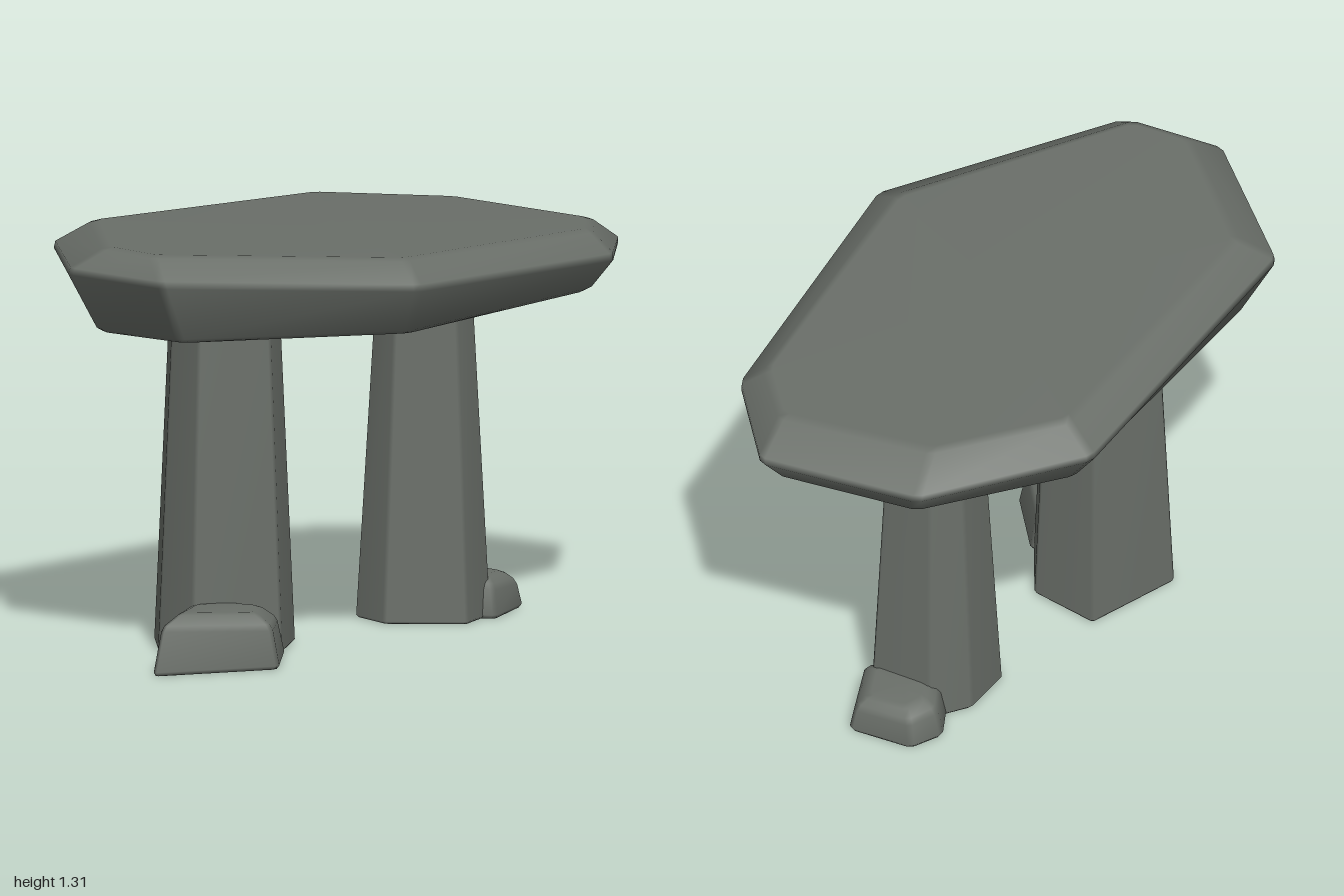
import * as THREE from 'three';

const stone = new THREE.MeshStandardMaterial({ color: 0x6a6f69 });
stone.name = 'weathered stone';

// Point lying a distance d from a towards b
const toward = (a, b, d) => a.clone().lerp(b, Math.min(0.45, d / Math.max(a.distanceTo(b), 1e-6)));

// Closed stone from stacked rings (anticlockwise from above), with narrow soft bevels
function carvedStone(name, rings, bevel) {
  const cut = rings.map(ring => ring.flatMap((p, i) => [
    toward(p, ring.at(i - 1), bevel),
    toward(p, ring[(i + 1) % ring.length], bevel),
  ]));
  const middle = ring => ring.reduce((s, p) => s.add(p), new THREE.Vector3()).divideScalar(ring.length);
  const n = cut[0].length;
  const bottom = middle(cut[0]), top = middle(cut.at(-1));

  // Split every ring into two, so each horizontal edge is bevelled as well
  const rows = cut.flatMap((ring, r) => {
    const below = i => (r > 0 ? cut[r - 1][i] : bottom);
    const above = i => (r < cut.length - 1 ? cut[r + 1][i] : top);
    return [
      ring.map((p, i) => toward(p, below(i), bevel)),
      ring.map((p, i) => toward(p, above(i), bevel)),
    ];
  });

  const points = [...rows.flat(), bottom, top];
  const index = [];
  const lowCentre = points.length - 2, highCentre = points.length - 1;
  const last = (rows.length - 1) * n;
  for (let i = 0; i < n; i++) {
    const j = (i + 1) % n;
    for (let r = 0; r < rows.length - 1; r++) {
      const a = r * n + i, b = r * n + j;
      index.push(a, b, b + n, a, b + n, a + n);
    }
    index.push(lowCentre, j, i, highCentre, last + i, last + j);
  }
  const geometry = new THREE.BufferGeometry().setFromPoints(points);
  geometry.setIndex(index);
  geometry.computeVertexNormals(); // area weighting keeps the broad faces flat
  const mesh = new THREE.Mesh(geometry, stone);
  mesh.name = name;
  return mesh;
}

// Ring from an [x, z] outline, scaled about a centre, at a height given by a rule
const ring = (outline, height, sx = 1, sz = sx, cx = 0, cz = 0) => outline.map(([x, z]) => {
  const px = cx + (x - cx) * sx, pz = cz + (z - cz) * sz;
  return new THREE.Vector3(px, height(px, pz), pz);
});

function pillar(name, outline, cx, cz, taper) {
  return carvedStone(name, [
    ring(outline, () => 0),
    ring(outline, () => 1.07, taper, taper, cx, cz),
  ], 0.008);
}

function boulder(name, outline, cx, cz, height, slope) {
  const tilt = h => x => h - slope * (x - cx);
  return carvedStone(name, [
    ring(outline, () => 0),
    ring(outline, tilt(height * 0.77), 0.87, 0.87, cx, cz),
    ring(outline, tilt(height), 0.6, 0.6, cx, cz),
  ], 0.012);
}

export function createModel() {
  const model = new THREE.Group();
  model.name = 'stoneTable';

  // Sloping capstone: flat underside, wide rim and inset top
  const rim = [[-1, -0.09], [-0.92, 0.26], [-0.22, 0.655], [0.74, 0.45],
    [1, 0.17], [0.87, -0.34], [0.4, -0.66], [-0.68, -0.54]];
  const crown = [[-0.9, -0.02], [-0.87, 0.16], [-0.18, 0.54], [0.71, 0.36],
    [0.86, 0.19], [0.73, -0.29], [0.38, -0.545], [-0.6, -0.435]];
  model.add(carvedStone('capstone', [
    ring(rim, () => 1.035, 0.9, 0.85, 0.2, 0),
    ring(rim, x => 1.185 - 0.055 * x),
    ring(crown, (x, z) => 1.264 - 0.053 * x - 0.01 * z),
  ], 0.016));

  // Tapered standing stones
  model.add(pillar('rightPillar', [[-0.6, 0.03], [-0.325, 0.13], [-0.16, 0],
    [-0.15, -0.23], [-0.47, -0.3], [-0.59, -0.14]], -0.375, -0.08, 0.78));
  model.add(pillar('leftPillar', [[0.22, -0.03], [0.41, 0.14], [0.56, 0.075],
    [0.535, -0.13], [0.41, -0.2], [0.23, -0.18]], 0.39, -0.03, 0.71));

  // Boulders leaning on the feet of the pillars
  model.add(boulder('rightBoulder', [[-0.87, 0.16], [-0.5, 0.325], [-0.32, 0.14],
    [-0.4, 0], [-0.6, -0.04]], -0.57, 0.13, 0.172, 0.05));
  model.add(boulder('leftBoulder', [[0.45, 0.03], [0.53, 0.135], [0.73, 0.03],
    [0.69, -0.18], [0.58, -0.22], [0.47, -0.15]], 0.59, -0.04, 0.122, 0.08));

  return model;
}
